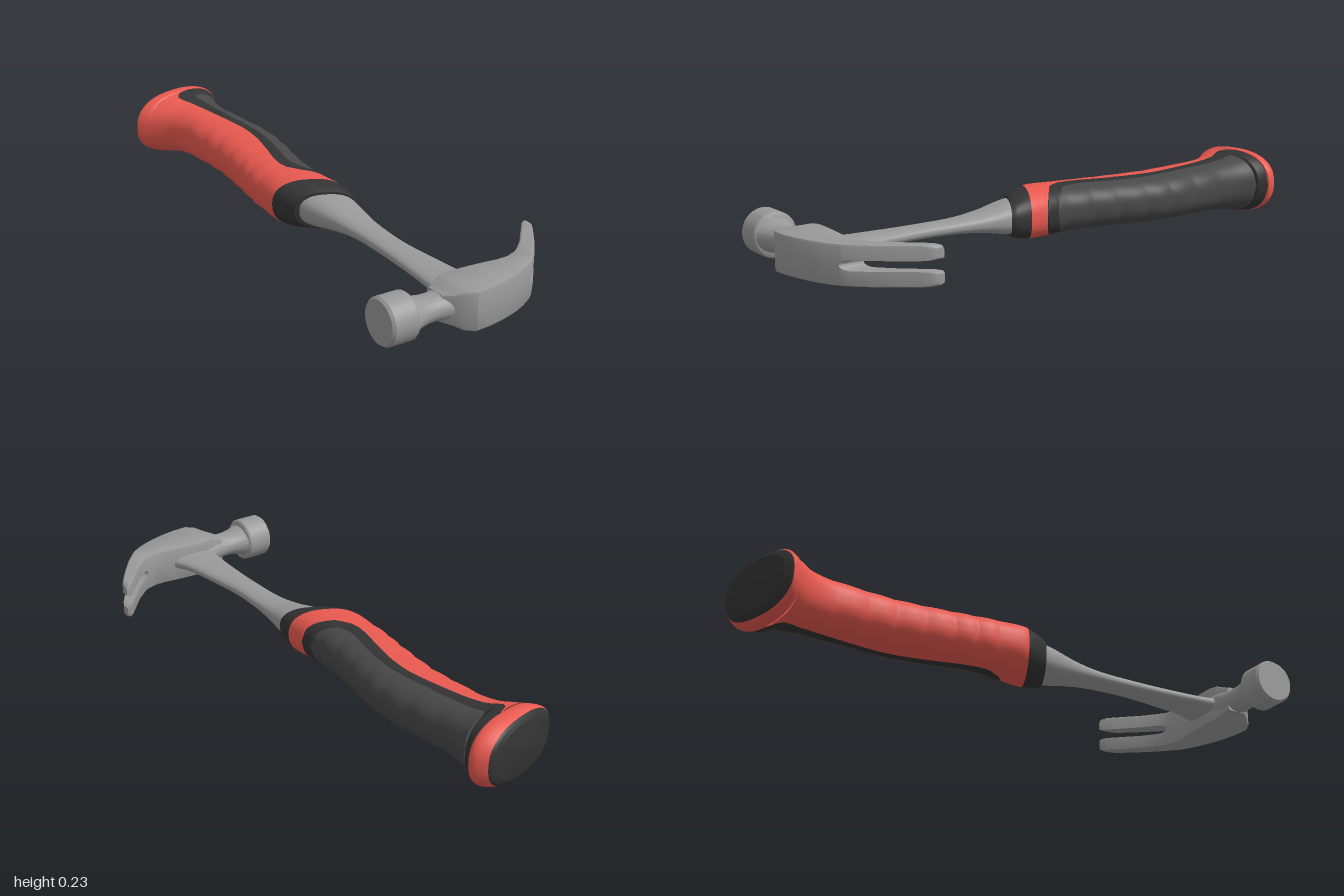
import * as THREE from 'three';
import { mergeVertices, toCreasedNormals } from 'three/addons/utils/BufferGeometryUtils.js';

const V = (x, y, z) => new THREE.Vector3(x, y, z);
const MID = 0.117; // height of the hammer's mid plane
const steel = new THREE.MeshStandardMaterial({ color: 0xcccccc });
const red = new THREE.MeshStandardMaterial({ color: 0xe8594f });
const black = new THREE.MeshStandardMaterial({ color: 0x333333 });
const grey = new THREE.MeshStandardMaterial({ color: 0x484848 });
steel.color.set(0x999999);

// Skin a list of equally long rows of points
function skin(rows) {
  const n = rows[0].length, pos = [], idx = [];
  rows.forEach(r => r.forEach(p => pos.push(p.x, p.y, p.z)));
  for (let i = 0; i < rows.length - 1; i++) {
    for (let j = 0; j < n - 1; j++) {
      const a = i * n + j, d = a + n;
      idx.push(a, a + 1, d + 1, a, d + 1, d);
    }
  }
  let g = new THREE.BufferGeometry();
  g.setAttribute('position', new THREE.Float32BufferAttribute(pos, 3));
  g.setIndex(idx);
  g = mergeVertices(g, 1e-5);
  g.computeVertexNormals();
  return g;
}

// Slanted oval sections [leftEdgeX, leftEdgeZ, rightEdgeX, rightEdgeZ, halfHeight] -> point(t, angle)
const POW = 0.82;
const bulge = v => Math.sign(v) * Math.abs(v) ** POW;
function ovalSurface(sections, ripple = () => 0) {
  const L = new THREE.CatmullRomCurve3(sections.map(s => V(s[0], s[4], s[1])), false, 'catmullrom');
  const R = new THREE.CatmullRomCurve3(sections.map(s => V(s[2], s[4], s[3])), false, 'catmullrom');
  const last = sections.length - 1;
  return (t, angle) => {
    const u = Math.min(1, Math.max(0, t / last));
    const l = L.getPoint(u), r = R.getPoint(u), c = bulge(Math.cos(angle));
    const p = l.clone().lerp(r, (1 + c) / 2);
    p.x += ripple(t) * c;
    p.y = MID + l.y * bulge(Math.sin(angle));
    // below zero the section closes towards its centre
    if (t < 0) p.lerp(l.clone().lerp(r, 0.5).setY(MID).add(V(-0.004, 0, -0.015)), -t);
    return p;
  };
}

// Patch of an oval surface between two angles that may vary along it
function patch(point, t0, t1, from, to, around = 40, perStation = 12) {
  const rows = [], nt = Math.max(2, Math.round((t1 - t0) * perStation));
  for (let i = 0; i <= nt; i++) {
    const t = t0 + (t1 - t0) * i / nt, a = from(t), b = to(t), row = [];
    for (let j = 0; j <= around; j++) row.push(point(t, a + (b - a) * j / around));
    rows.push(row);
  }
  return skin(rows);
}

// Half-angle of a panel whose edge lies at a fraction of the width; keys are [t, fraction]
function edgeAngle(keys) {
  return t => {
    if (t <= keys[0][0] || t >= keys[keys.length - 1][0]) return 0;
    const i = keys.findIndex(k => k[0] > t), [a, fa] = keys[i - 1], [b, fb] = keys[i];
    const c = 2 * THREE.MathUtils.lerp(fa, fb, (t - a) / (b - a)) - 1;
    return Math.acos(Math.sign(c) * Math.abs(c) ** (1 / POW));
  };
}

function half(name, geometry, material) {
  const m = new THREE.Mesh(geometry, material);
  m.name = name;
  return m;
}

// One half of the claw: rounded sections [x, innerZ, outerZ, halfHeight, slotHalfWidth]
function clawHalf(side) {
  const S = [
    [-0.165, 0.85, 0.925, 0.045, 0], [-0.14, 0.845, 0.955, 0.052, 0], [-0.115, 0.835, 0.98, 0.064, 0],
    [-0.085, 0.83, 0.996, 0.067, 0], [-0.03, 0.831, 0.992, 0.067, 0], [0.02, 0.834, 0.982, 0.067, 0],
    [0.06, 0.838, 0.971, 0.067, 0], [0.1, 0.843, 0.957, 0.067, 0], [0.14, 0.842, 0.939, 0.067, 0],
    [0.178, 0.829, 0.916, 0.067, 0], [0.18, 0.828, 0.915, 0.067, 0.006], [0.188, 0.823, 0.909, 0.067, 0.013],
    [0.203, 0.812, 0.895, 0.067, 0.017], [0.25, 0.77, 0.845, 0.067, 0.017], [0.3, 0.713, 0.782, 0.067, 0.017],
    [0.34, 0.668, 0.727, 0.067, 0.017], [0.358, 0.655, 0.702, 0.064, 0.019], [0.368, 0.656, 0.682, 0.058, 0.025],
  ];
  const rows = S.map(([x, zi, zo, hi, lo]) => {
    const r = 0.009, k = r * 0.3;
    const loop = [[lo, zi], [hi - r, zi], [hi - k, zi + k], [hi, zi + r], [hi, zo - r], [hi - k, zo - k], [hi - r, zo], [lo, zo], [lo, zi]];
    const row = loop.map(([y, z]) => V(x, MID + side * y, z));
    return side < 0 ? row.reverse() : row;
  });
  // close both ends
  const close = row => {
    const c = row.slice(1).reduce((s, p) => s.add(p), V(0, 0, 0)).divideScalar(row.length - 1);
    return row.map(() => c.clone());
  };
  return toCreasedNormals(skin([close(rows[0]), ...rows, close(rows[rows.length - 1])]), 0.5);
}

// Turned part along -x, profile as [radius, distance from the centre plane]
function turned(profile, zScale) {
  const g = new THREE.LatheGeometry(profile.map(p => new THREE.Vector2(...p)), 48);
  g.rotateZ(Math.PI / 2).scale(1, 1, zScale).translate(0, MID, 0.894);
  return toCreasedNormals(g, 0.5);
}

export function createModel() {
  const group = new THREE.Group();
  const add = (name, geometry, material) => group.add(half(name, geometry, material));
  const zero = () => 0, full = () => Math.PI * 2;

  // Handle, from the butt to the front ring, with shallow finger ridges
  const handle = ovalSurface([
    [-0.215, -0.922, 0.055, -0.992, 0.09], [-0.24, -0.9, 0.085, -0.985, 0.106],
    [-0.235, -0.885, 0.118, -0.945, 0.116], [-0.19, -0.83, 0.1, -0.9, 0.108],
    [-0.16, -0.78, 0.08, -0.83, 0.096], [-0.14, -0.7, 0.075, -0.73, 0.09],
    [-0.135, -0.58, 0.088, -0.6, 0.087], [-0.135, -0.48, 0.097, -0.48, 0.085],
    [-0.145, -0.38, 0.088, -0.38, 0.084], [-0.158, -0.28, 0.067, -0.27, 0.083],
    [-0.17, -0.2, 0.049, -0.17, 0.083], [-0.18, -0.12, 0.04, -0.07, 0.084],
    [-0.188, -0.05, 0.045, 0.03, 0.087], [-0.185, -0.01, 0.05, 0.1, 0.086],
    [-0.167, 0.045, 0.046, 0.15, 0.075], [-0.152, 0.08, 0.036, 0.172, 0.064],
  ], t => (t > 5 && t < 11 ? 0.007 * Math.abs(Math.sin(Math.PI * t)) : 0));

  const panelEdge = edgeAngle([[2.42, 0.75], [2.5, 0.53], [2.7, 0.42], [3, 0.36], [3.5, 0.375], [4, 0.42], [5, 0.47],
    [6, 0.51], [7, 0.53], [8, 0.53], [9, 0.5], [10, 0.46], [10.6, 0.455], [11, 0.48], [11.5, 0.62], [12, 1]]);
  const gripEdge = edgeAngle([[3.2, 0.75], [3.3, 0.62], [3.6, 0.6], [4, 0.63], [5, 0.65], [6, 0.645], [7, 0.66],
    [8, 0.68], [9, 0.68], [10, 0.64], [10.5, 0.64], [11, 0.7], [11.5, 1]]);

  add('buttCap', patch(handle, -1, 1, zero, full, 64), black);
  add('handleShell', patch(handle, 1, 13, panelEdge, t => 2 * Math.PI - panelEdge(t), 64), red);
  for (const s of [1, -1]) {
    // border between the shell and the grip, above and below
    const lo = s > 0 ? gripEdge : t => -panelEdge(t), hi = s > 0 ? panelEdge : t => -gripEdge(t);
    add(s > 0 ? 'upperGripBorder' : 'lowerGripBorder', patch(handle, 2.4, 12, lo, hi, 16), black);
  }
  add('grip', patch(handle, 3.2, 11.5, t => -gripEdge(t), gripEdge, 32), grey);
  add('frontRing', patch(handle, 13, 15, zero, full, 64), black);

  // Steel shank
  const shank = ovalSurface([
    [-0.147, 0.04, 0.033, 0.13, 0.06], [-0.13, 0.13, 0.034, 0.18, 0.054], [-0.104, 0.24, 0.025, 0.25, 0.037],
    [-0.09, 0.35, 0.012, 0.35, 0.025], [-0.09, 0.5, 0.005, 0.5, 0.022], [-0.098, 0.65, 0.018, 0.65, 0.022],
    [-0.11, 0.78, 0.035, 0.78, 0.024], [-0.125, 0.87, 0.07, 0.87, 0.032],
  ]);
  add('shank', patch(shank, 0, 7, zero, full, 48, 8), steel);
  add('ringFace', patch(ovalSurface([[-0.152, 0.08, 0.036, 0.172, 0.064], [-0.135, 0.09, 0.03, 0.165, 0.05]]), 0, 1, zero, full, 48), black);

  // Head: striking face, neck and split claw
  add('strikingFace', turned([[0, 0.268], [0.066, 0.27], [0.074, 0.274], [0.078, 0.28], [0.078, 0.361], [0.071, 0.37], [0, 0.37]], 1), steel);
  add('headNeck', turned([[0.058, 0.09], [0.054, 0.12], [0.046, 0.155], [0.042, 0.185], [0.043, 0.215], [0.048, 0.245], [0.057, 0.272]], 1.25), steel);
  add('upperClaw', clawHalf(1), steel);
  add('lowerClaw', clawHalf(-1), steel);
  return group;
}
